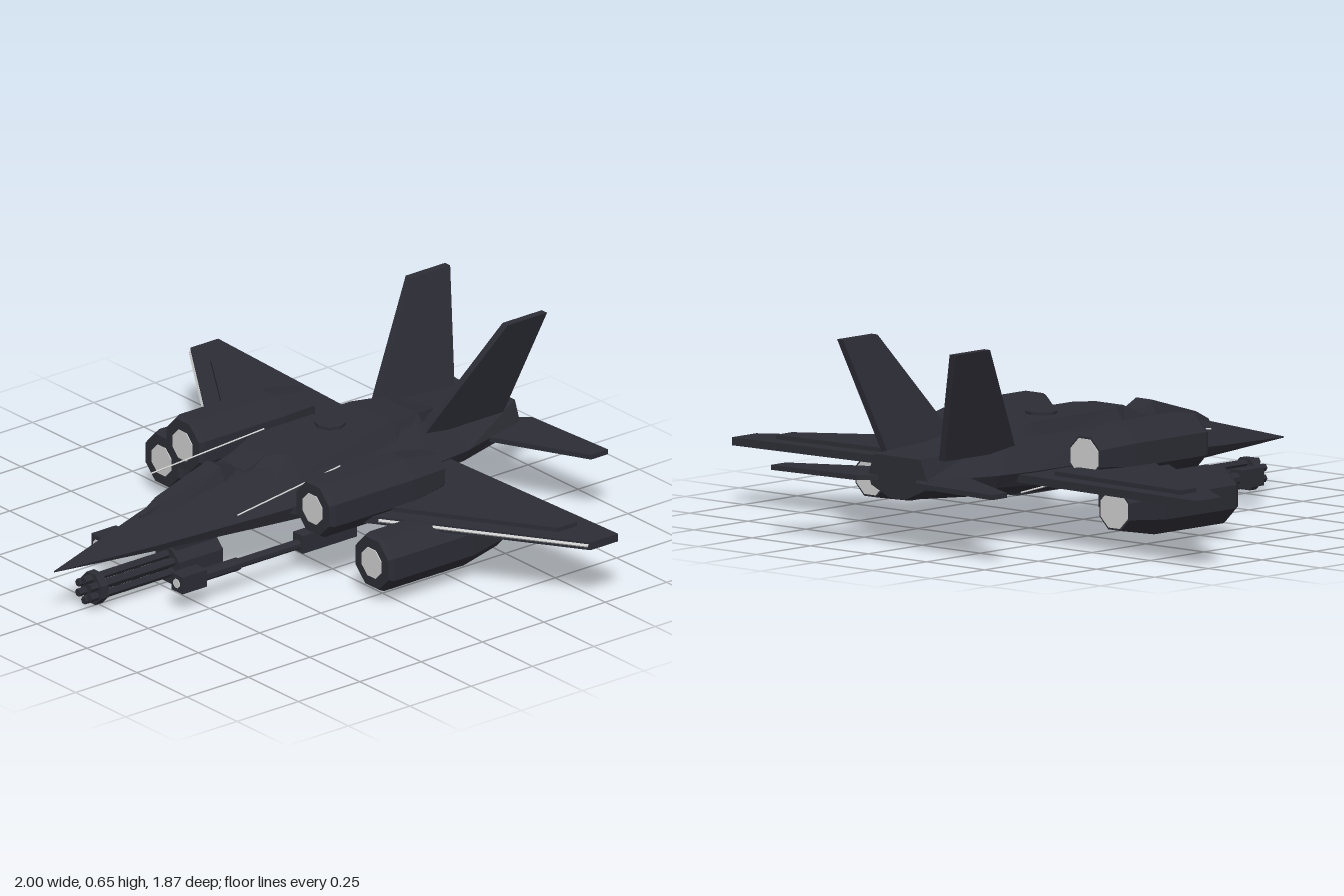
import * as THREE from 'three';

const dark = new THREE.MeshStandardMaterial({ color: 0x2c2c35 });
dark.name = 'dark hull';
const light = new THREE.MeshStandardMaterial({ color: 0xcccccc });
light.name = 'light grey';

export function createModel() {
  const model = new THREE.Group();
  model.name = 'jet';

  // Adds a faceted mesh
  function add(name, geo, mat = dark, x = 0, y = 0, z = 0) {
    const g = geo.index ? geo.toNonIndexed() : geo;
    g.computeVertexNormals();
    const m = new THREE.Mesh(g, mat);
    m.name = name;
    m.position.set(x, y, z);
    model.add(m);
    return m;
  }

  // Skin over rings ordered front to back, each counter-clockwise seen from the front
  function loft(rings) {
    const pos = [];
    const tri = (...p) => p.forEach((v) => pos.push(...v));
    const n = rings[0].length;
    const mid = (r) => [0, 1, 2].map((k) => r.reduce((s, p) => s + p[k], 0) / n);
    const front = rings[0], back = rings[rings.length - 1];
    for (let j = 0; j < n; j++) {
      const k = (j + 1) % n;
      for (let i = 0; i < rings.length - 1; i++) {
        const a = rings[i], b = rings[i + 1];
        tri(a[j], b[j], b[k]);
        tri(a[j], b[k], a[k]);
      }
      tri(mid(front), front[j], front[k]);
      tri(mid(back), back[k], back[j]);
    }
    const g = new THREE.BufferGeometry();
    g.setAttribute('position', new THREE.Float32BufferAttribute(pos, 3));
    return g;
  }

  // Flat plate from an x-z outline
  function plate(points, y0, y1, side) {
    const shape = new THREE.Shape(points.map(([x, z]) => new THREE.Vector2(side * x, -z)));
    return new THREE.ExtrudeGeometry(shape, { depth: y1 - y0, bevelEnabled: false })
      .rotateX(-Math.PI / 2).translate(0, y0, 0);
  }

  // Cylinder lying along z
  const rod = (r, length, sides = 8) =>
    new THREE.CylinderGeometry(r, r, length, sides, 1, false, Math.PI / sides).rotateX(Math.PI / 2);

  // Thin rod between two points
  const strip = (a, b, r) => new THREE.TubeGeometry(
    new THREE.LineCurve3(new THREE.Vector3(...a), new THREE.Vector3(...b)), 1, r, 4);

  // Fuselage stations: z, half width, top half width, top y, widest y, bottom y
  const stations = [
    [0.93, 0.002, 0.001, 0.167, 0.165, 0.163],
    [0.55, 0.093, 0.03, 0.262, 0.19, 0.145],
    [0.22, 0.165, 0.065, 0.325, 0.215, 0.13],
    [0.05, 0.195, 0.11, 0.335, 0.225, 0.12],
    [-0.45, 0.213, 0.115, 0.335, 0.23, 0.135],
    [-0.6, 0.195, 0.11, 0.31, 0.23, 0.148],
    [-0.865, 0.125, 0.1, 0.3, 0.235, 0.165],
  ];
  add('fuselage', loft(stations.map(([z, w, tw, t, m, b]) => [
    [w, m, z], [tw, t, z], [-tw, t, z], [-w, m, z],
    [-w * 0.9, m - (m - b) * 0.5, z], [-w * 0.25, b, z],
    [w * 0.25, b, z], [w * 0.9, m - (m - b) * 0.5, z],
  ])));

  // Raised spine and canopy: z, base half width, top half width, base y, top y
  const ridge = (rows) => loft(rows.map(([z, w, tw, b, t]) =>
    [[w, b, z], [tw, t, z], [-tw, t, z], [-w, b, z]]));
  add('spine', ridge([
    [0.2, 0.06, 0.055, 0.31, 0.328], [0.12, 0.12, 0.06, 0.3, 0.363],
    [0.05, 0.14, 0.095, 0.3, 0.365], [-0.36, 0.14, 0.1, 0.3, 0.365],
    [-0.48, 0.13, 0.09, 0.3, 0.352], [-0.61, 0.01, 0.005, 0.29, 0.312],
  ]));
  add('canopy', ridge([
    [0.58, 0.008, 0.004, 0.24, 0.262], [0.5, 0.05, 0.022, 0.25, 0.297],
    [0.28, 0.066, 0.032, 0.29, 0.36], [0.21, 0.045, 0.025, 0.3, 0.332],
  ]));
  add('dorsalHatch', new THREE.CylinderGeometry(0.05, 0.05, 0.012, 8), dark, 0, 0.368, -0.195);

  // Faceted engine pod, open end forward
  function engine(name, x, y, z) {
    const profile = [[0, -0.243], [0.07, -0.243], [0.0974, -0.1], [0.0974, 0.225],
      [0.088, 0.243], [0, 0.243]].map(([r, h]) => new THREE.Vector2(r, h));
    const body = new THREE.LatheGeometry(profile, 8, Math.PI / 8).rotateX(Math.PI / 2);
    add(name, body, dark, x, y, z);
    add(name + 'Intake', rod(0.052, 0.006), light, x, y, z + 0.243);
    add(name + 'Exhaust', rod(0.063, 0.006), light, x, y, z - 0.243);
  }

  for (const s of [1, -1]) {
    const side = s > 0 ? 'left' : 'right';

    // Wings with a raised panel and a light leading edge
    add(side + 'Wing', plate([[0.12, 0.15], [1, -0.44], [1, -0.553], [0.12, -0.515]], 0.2, 0.226, s));
    add(side + 'WingPanel', plate([[0.3, -0.04], [0.87, -0.415], [0.87, -0.49], [0.3, -0.46]], 0.22, 0.24, s));
    add(side + 'WingEdge', strip([s * 0.42, 0.214, -0.05], [s * 0.995, 0.214, -0.436], 0.006), light);

    // Tailplanes and canted fins
    add(side + 'Tailplane', plate(
      [[0.08, -0.67], [0.475, -0.87], [0.475, -0.94], [0.125, -0.917], [0.08, -0.86]], 0.218, 0.234, s));
    const finShape = new THREE.Shape([[0.46, 0.29], [0.5, 0.35], [0.71, 0.65], [0.87, 0.65], [0.79, 0.29]]
      .map((p) => new THREE.Vector2(...p)));
    const fin = new THREE.ExtrudeGeometry(finShape, { depth: 0.026, bevelEnabled: false })
      .rotateY(Math.PI / 2).translate(-0.013, 0, 0);
    const p = fin.attributes.position;
    for (let i = 0; i < p.count; i++) p.setX(i, p.getX(i) + s * (0.125 + (p.getY(i) - 0.3) * 0.335));
    add(side + 'Fin', fin);

    // Engine pods above and below the wing
    engine(side + 'UpperEngine', s * 0.325, 0.275, -0.102);
    engine(side + 'LowerEngine', s * 0.525, 0.135, -0.18);

    // Light trim lines along the body
    add(side + 'UpperTrim', strip([s * 0.215, 0.275, 0.36], [s * 0.19, 0.317, -0.08], 0.003), light);
    add(side + 'LowerTrim', strip([s * 0.212, 0.195, -0.15], [s * 0.2, 0.166, -0.51], 0.003), light);

    // Long side guns
    const gx = s * 0.2;
    add(side + 'GunBarrel', rod(0.016, 0.5), dark, gx, 0.1, 0.3);
    add(side + 'GunSleeve', rod(0.021, 0.15), dark, gx, 0.1, 0.42);
    add(side + 'GunMuzzle', new THREE.BoxGeometry(0.056, 0.058, 0.1), dark, gx, 0.1, 0.543);
    add(side + 'GunBore', rod(0.016, 0.006), light, gx, 0.1, 0.593);
    add(side + 'GunHousing', new THREE.BoxGeometry(0.05, 0.06, 0.22), dark, gx, 0.105, -0.01);
    add(side + 'GunMount', new THREE.BoxGeometry(0.03, 0.08, 0.12), dark, s * 0.185, 0.16, -0.04);
  }

  // Rotary nose gun
  add('rotaryHousing', rod(0.064, 0.18), dark, 0, 0.064, 0.38);
  add('rotaryMount', new THREE.BoxGeometry(0.06, 0.08, 0.16), dark, 0, 0.125, 0.38);
  add('rotaryRing', rod(0.055, 0.03), dark, 0, 0.067, 0.765);
  add('rotaryShaft', rod(0.016, 0.3), dark, 0, 0.067, 0.61);
  for (let i = 0; i < 6; i++) {
    const a = (i + 0.5) * Math.PI / 3;
    add('rotaryBarrel', rod(0.013, 0.36, 6), dark, 0.034 * Math.cos(a), 0.067 + 0.034 * Math.sin(a), 0.63);
  }
  return model;
}
